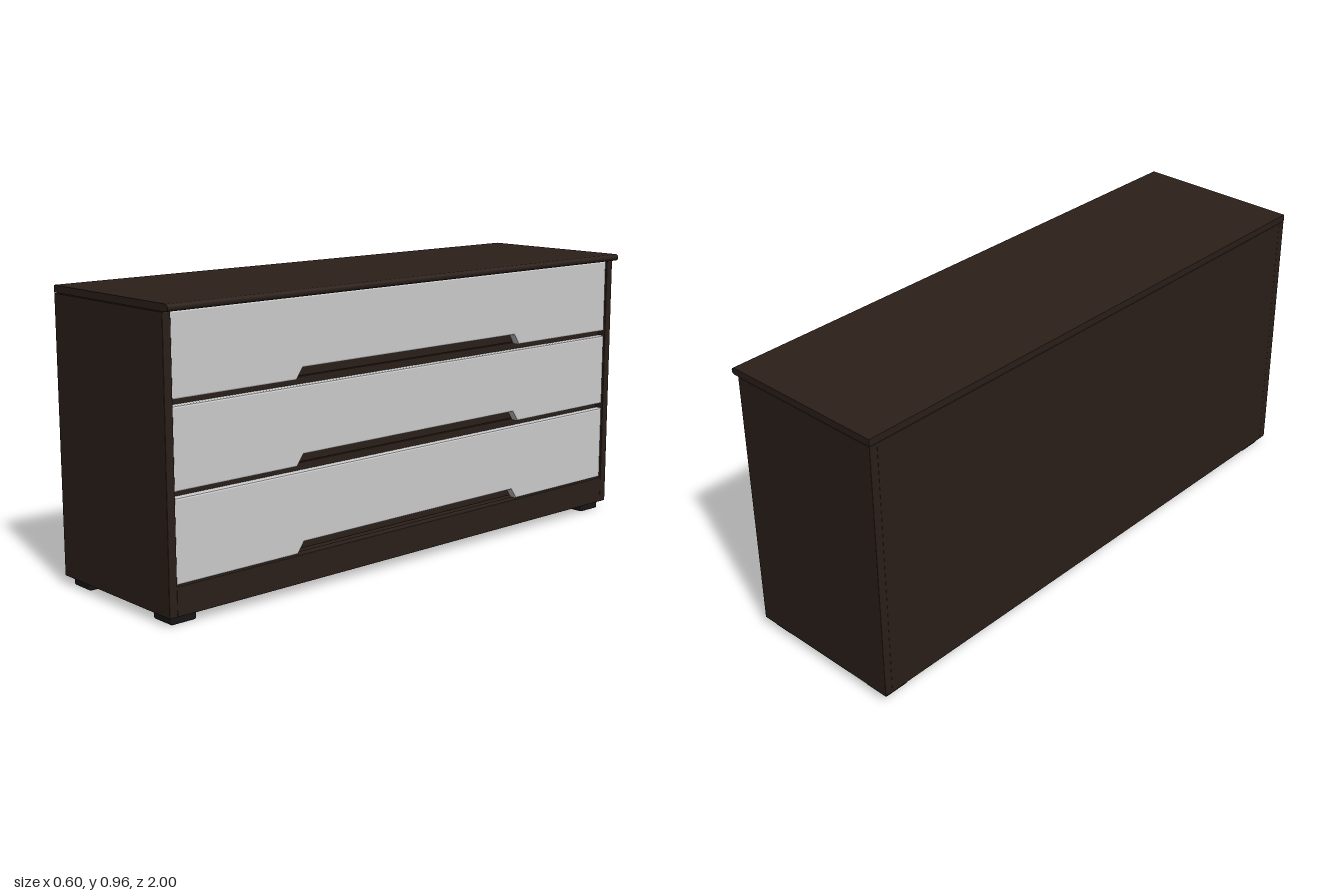
import * as THREE from 'three';
import { RoundedBoxGeometry } from 'three/addons/geometries/RoundedBoxGeometry.js';

const wood = new THREE.MeshStandardMaterial({ color: 0x2b1f19 });
const grey = new THREE.MeshStandardMaterial({ color: 0xcccccc });
const black = new THREE.MeshStandardMaterial({ color: 0x161616 });

export function createModel() {
  const model = new THREE.Group();

  const add = (name, geometry, material = wood) => {
    const mesh = new THREE.Mesh(geometry, material);
    mesh.name = name;
    model.add(mesh);
    return mesh;
  };

  // Panel given by its extents, with slightly eased edges
  const panel = (name, x0, x1, y0, y1, z0, z1, material = wood, radius = 0.002) => {
    const geometry = new RoundedBoxGeometry(x1 - x0, y1 - y0, z1 - z0, 2, radius);
    geometry.translate((x0 + x1) / 2, (y0 + y1) / 2, (z0 + z1) / 2);
    return add(name, geometry, material);
  };

  // Carcass; the drawers open towards +x
  panel('leftEndPanel', -0.3, 0.27, 0.03, 0.935, 0.971, 1);
  panel('rightEndPanel', -0.3, 0.27, 0.03, 0.935, -1, -0.971);
  panel('backPanel', -0.3, -0.28, 0.03, 0.935, -0.972, 0.972);
  panel('bottomPanel', -0.3, 0.26, 0.03, 0.05, -0.972, 0.972);
  panel('plinth', 0.235, 0.27, 0.03, 0.123, -0.972, 0.972);

  // Top board with a rounded overhanging front edge
  const edge = new THREE.Shape();
  const r = 0.0115;
  edge.moveTo(-0.3, 0.937);
  edge.lineTo(0.297 - r, 0.937);
  edge.absarc(0.297 - r, 0.937 + r, r, -Math.PI / 2, Math.PI / 2, false);
  edge.lineTo(-0.3, 0.96);
  edge.closePath();
  add('topBoard', new THREE.ExtrudeGeometry(edge, { depth: 2, bevelEnabled: false, curveSegments: 10 }))
    .position.z = -1;

  // Drawers: bevelled fronts with a finger cut-out in the lower edge
  const bevel = 0.006;
  const drawers = [[0.125, 0.388], [0.406, 0.66], [0.678, 0.936]];
  drawers.forEach(([y0, y1], i) => {
    const w = 0.97, notch = y0 + 0.036;
    const front = new THREE.Shape([
      [-w, y0], [-0.505, y0], [-0.48, notch], [0.48, notch],
      [0.505, y0], [w, y0], [w, y1], [-w, y1],
    ].map(([u, v]) => new THREE.Vector2(u, v)));
    const geometry = new THREE.ExtrudeGeometry(front, {
      depth: 0.018, bevelSize: bevel, bevelThickness: bevel, bevelOffset: -bevel, bevelSegments: 2,
    });
    geometry.rotateY(Math.PI / 2);
    add(`drawerFront${i + 1}`, geometry, grey).position.x = 0.242;

    // Dark drawer body behind the front
    panel(`drawerBox${i + 1}`, -0.27, 0.235, y0 + 0.005, y1 - 0.005, -0.965, 0.965);
    // Recessed rail closing the gap above the lower drawers
    if (i < 2) panel(`rail${i + 1}`, 0.2, 0.238, y1 - 0.004, drawers[i + 1][0] + 0.004, -0.971, 0.971);
  });

  // Four square feet
  for (const x of [-0.233, 0.204]) {
    for (const z of [-0.935, 0.935]) {
      panel('foot', x - 0.046, x + 0.046, 0, 0.034, z - 0.046, z + 0.046, black, 0.006);
    }
  }

  return model;
}
